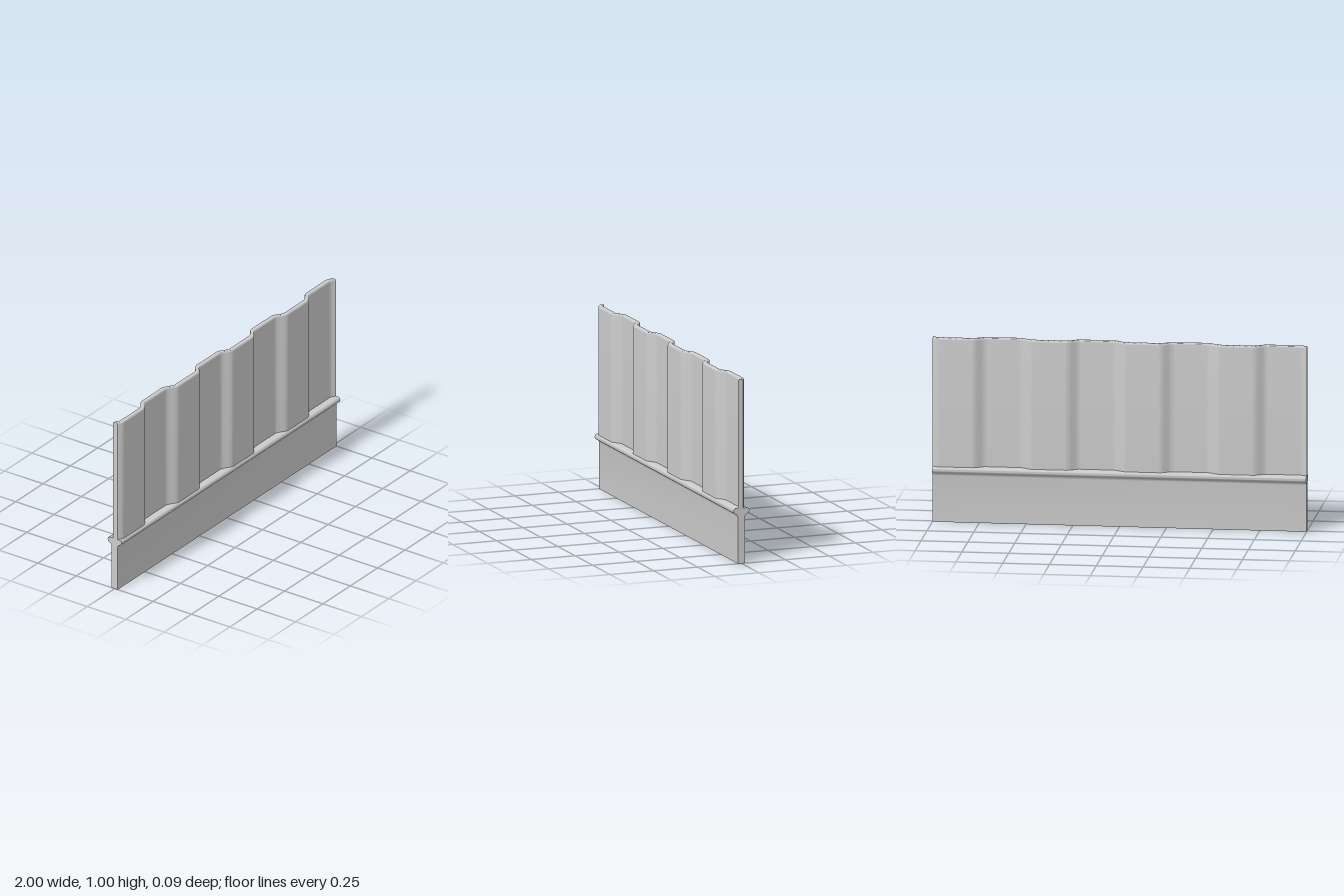
import * as THREE from 'three';
import { toCreasedNormals } from 'three/addons/utils/BufferGeometryUtils.js';

const LENGTH = 2;

// Extrude a (z, y) profile along x, centred on x = 0
function extrudeAlongX(shape, steps) {
  return new THREE.ExtrudeGeometry(shape, { depth: LENGTH, steps, bevelEnabled: false, curveSegments: 6 })
    .translate(0, 0, -LENGTH / 2)
    .rotateY(Math.PI / 2);
}

// Depth of the corrugated sheet at x: flat ridges joined by short smooth ramps
function corrugation(x) {
  const distance = Math.asin(Math.sin(4 * Math.PI * x)) / (4 * Math.PI);
  const t = THREE.MathUtils.clamp(distance / 0.036, -1, 1);
  return 0.0045 + 0.018 * (1.5 * t - 0.5 * t ** 3);
}

// Thin upright sheet with a rounded top edge
function sheetGeometry() {
  const h = 0.014, r = 0.011, top = 1, bottom = 0.29;
  const s = new THREE.Shape();
  s.moveTo(-h, bottom);
  s.lineTo(h, bottom);
  s.lineTo(h, top - r);
  s.quadraticCurveTo(h, top, h - r, top);
  s.lineTo(r - h, top);
  s.quadraticCurveTo(-h, top, -h, top - r);
  s.closePath();
  const geometry = extrudeAlongX(s, 250);
  const p = geometry.attributes.position;
  for (let i = 0; i < p.count; i++) p.setZ(i, p.getZ(i) + corrugation(p.getX(i)));
  return toCreasedNormals(geometry, 0.6);
}

// Plinth that flares through a small cove into a rounded rail
function baseGeometry() {
  const s = new THREE.Shape();
  s.moveTo(-0.02, 0);
  s.lineTo(0.02, 0);
  s.lineTo(0.02, 0.252);
  s.quadraticCurveTo(0.021, 0.264, 0.032, 0.268);
  s.quadraticCurveTo(0.045, 0.273, 0.045, 0.284);
  s.quadraticCurveTo(0.045, 0.298, 0.034, 0.3);
  s.lineTo(-0.034, 0.3);
  s.quadraticCurveTo(-0.045, 0.298, -0.045, 0.284);
  s.quadraticCurveTo(-0.045, 0.273, -0.032, 0.268);
  s.quadraticCurveTo(-0.021, 0.264, -0.02, 0.252);
  s.closePath();
  return toCreasedNormals(extrudeAlongX(s, 1), 0.6);
}

export function createModel() {
  const group = new THREE.Group();
  group.name = 'corrugatedFencePanel';
  const material = new THREE.MeshStandardMaterial({ color: 0xcccccc });
  const add = (name, geometry) => {
    const mesh = new THREE.Mesh(geometry, material);
    mesh.name = name;
    group.add(mesh);
  };
  add('corrugatedSheet', sheetGeometry());
  add('baseWithRail', baseGeometry());
  return group;
}
